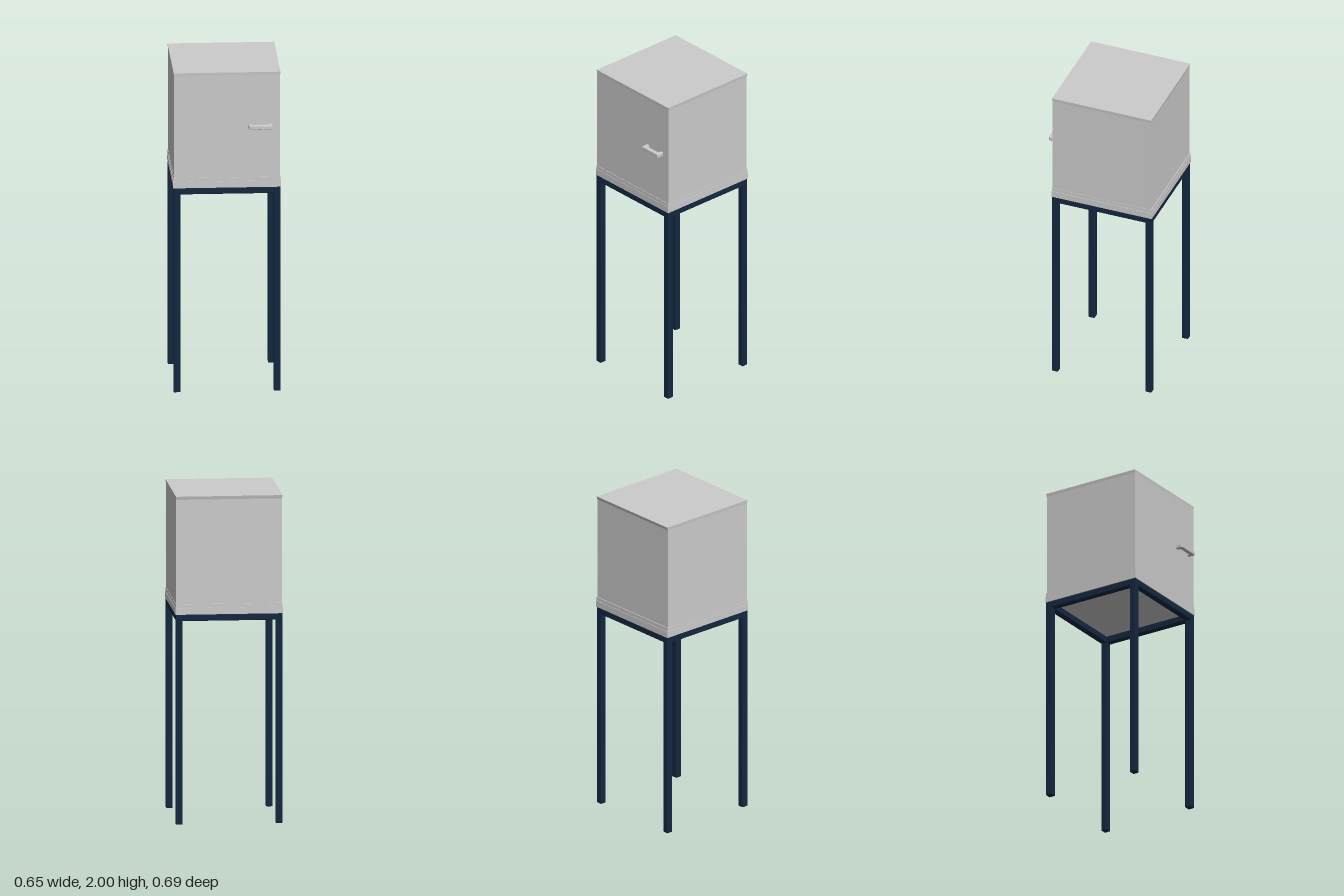
import * as THREE from 'three';
import { RoundedBoxGeometry } from 'three/addons/geometries/RoundedBoxGeometry.js';

export function createModel() {
  const model = new THREE.Group();
  const grey = new THREE.MeshStandardMaterial({ color: 0xcccccc, flatShading: true });
  const navy = new THREE.MeshStandardMaterial({ color: 0x142840 });

  function add(parent, name, geometry, material) {
    const mesh = new THREE.Mesh(geometry, material);
    mesh.name = name;
    parent.add(mesh);
    return mesh;
  }

  // Box given by its extents
  function block(x0, x1, y0, y1, z0, z1) {
    return new THREE.BoxGeometry(x1 - x0, y1 - y0, z1 - z0)
      .translate((x0 + x1) / 2, (y0 + y1) / 2, (z0 + z1) / 2);
  }

  // Cabinet: body, flared top rim and stepped base trim
  const cabinet = new THREE.Group();
  cabinet.name = 'cabinet';
  model.add(cabinet);
  add(cabinet, 'body', block(-0.32, 0.32, 1.34, 1.98, -0.337, 0.299), grey);

  const rim = block(-0.322, 0.322, 1.98, 2, -0.342, 0.3);
  const p = rim.attributes.position;
  for (let i = 0; i < p.count; i++) {
    if (p.getY(i) < 1.99) {
      p.setX(i, Math.sign(p.getX(i)) * 0.32);
      p.setZ(i, p.getZ(i) < 0 ? -0.337 : 0.299);
    }
  }
  rim.computeVertexNormals();
  add(cabinet, 'topRim', rim, grey);
  add(cabinet, 'upperTrim', block(-0.322, 0.322, 1.32, 1.343, -0.342, 0.302), grey);
  add(cabinet, 'lowerTrim', block(-0.325, 0.325, 1.28, 1.32, -0.345, 0.304), grey);

  // Door handle: bevelled U-shaped pull lying flat
  const b = 0.004;
  const pull = new THREE.Shape([
    [0.133, 0.295], [0.133, 0.334], [0.137, 0.338], [0.265, 0.338], [0.269, 0.334], [0.269, 0.295],
    [0.255, 0.295], [0.255, 0.313], [0.248, 0.32], [0.154, 0.32], [0.147, 0.313], [0.147, 0.295],
  ].map(([x, z]) => new THREE.Vector2(x, z)));
  const pullGeometry = new THREE.ExtrudeGeometry(pull, {
    depth: 0.018, bevelEnabled: true, bevelSize: b, bevelThickness: b, bevelSegments: 2,
  });
  pullGeometry.rotateX(Math.PI / 2);
  const handle = add(cabinet, 'doorHandle', pullGeometry, grey);
  handle.position.y = 1.671;

  // Stand: four square tube legs and the top frame
  const stand = new THREE.Group();
  stand.name = 'stand';
  stand.position.z = -0.02;
  model.add(stand);
  const t = 0.04, half = 0.322, c = half - t / 2;
  const tube = (x, y, z) => new RoundedBoxGeometry(x, y, z, 2, 0.004);
  for (const s of [-1, 1]) {
    for (const f of [-1, 1]) {
      add(stand, (f > 0 ? 'front' : 'back') + (s > 0 ? 'Left' : 'Right') + 'Leg',
        tube(t, 1.28, t), navy).position.set(s * c, 0.64, f * c);
    }
    add(stand, s > 0 ? 'frontRail' : 'backRail', tube(half * 2 - t, t, t), navy)
      .position.set(0, 1.26, s * c);
    add(stand, s > 0 ? 'leftRail' : 'rightRail', tube(t, t, half * 2 - t), navy)
      .position.set(s * c, 1.26, 0);
  }
  return model;
}
